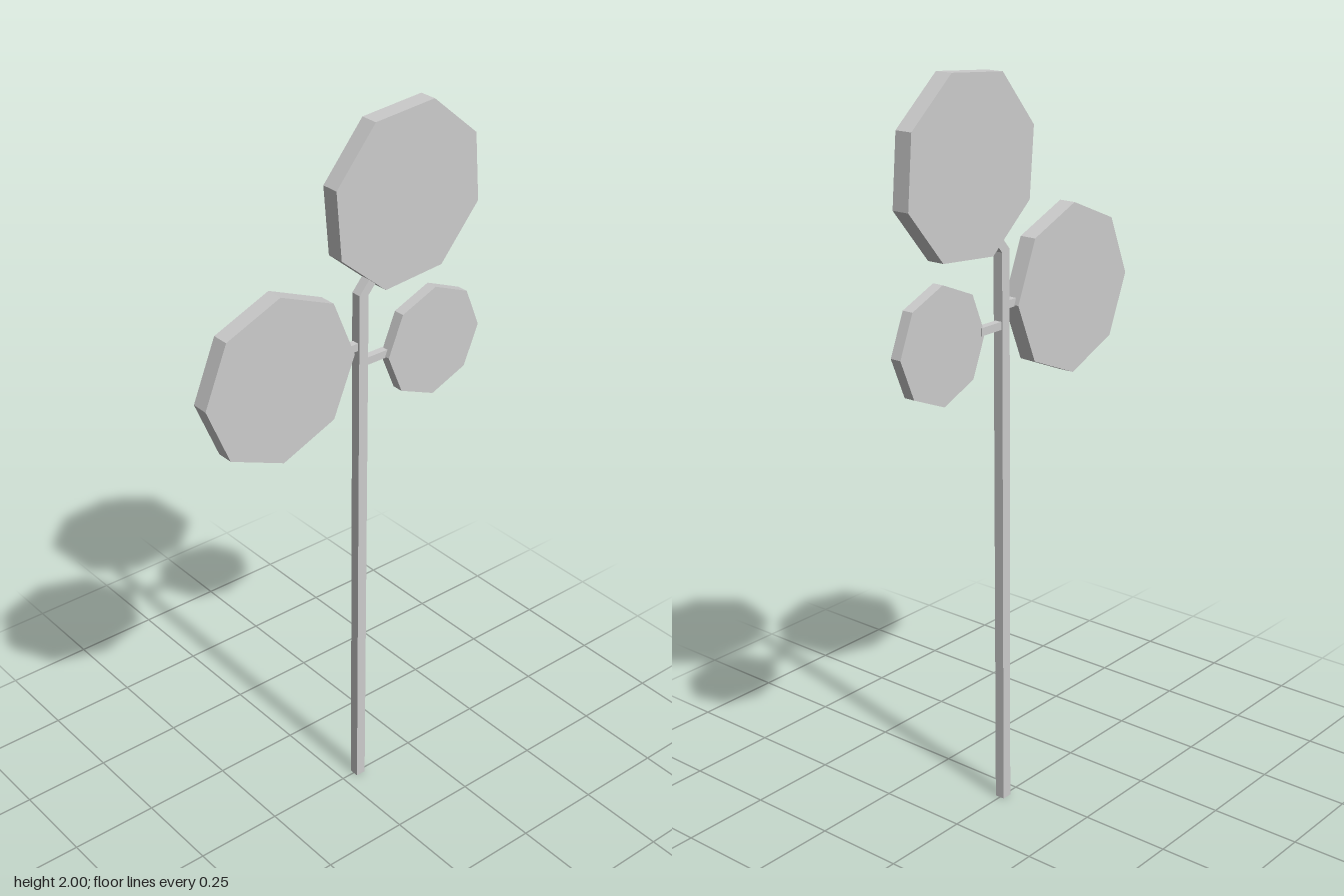
import * as THREE from 'three';

const material = new THREE.MeshStandardMaterial({ color: 0xcccccc, flatShading: true });

// Flat slab: outline given as [z, y] points, thickness along x
function slab(name, outline, thickness, x = 0) {
  const shape = new THREE.Shape(outline.map(([z, y]) => new THREE.Vector2(z, y)));
  const geometry = new THREE.ExtrudeGeometry(shape, { depth: thickness, bevelEnabled: false });
  geometry.translate(0, 0, -thickness / 2);
  geometry.rotateY(-Math.PI / 2);
  geometry.translate(x, 0, 0);
  const mesh = new THREE.Mesh(geometry, material);
  mesh.name = name;
  return mesh;
}

// Eight-sided pad facing sideways
function pad(name, z, y, radius, thickness, x, turn = 0) {
  const outline = [];
  for (let i = 0; i < 8; i++) {
    const a = turn + (i * Math.PI) / 4;
    outline.push([z + radius * Math.cos(a), y + radius * Math.sin(a)]);
  }
  return slab(name, outline, thickness, x);
}

// Thin square twig along z
function twig(name, z0, z1, y) {
  const mesh = new THREE.Mesh(new THREE.BoxGeometry(0.02, 0.021, z1 - z0), material);
  mesh.position.set(0, y, (z0 + z1) / 2);
  mesh.name = name;
  return mesh;
}

export function createModel() {
  const group = new THREE.Group();
  group.name = 'paddedPlant';

  // Upright stem whose tip bends back into the top pad
  group.add(slab('stem', [
    [-0.069, 0], [-0.04, 0], [-0.04, 1.545], [-0.1, 1.614], [-0.121, 1.6], [-0.069, 1.54],
  ], 0.028, 0.001));

  // Side twigs
  group.add(twig('frontTwig', -0.055, 0, 1.402));
  group.add(twig('backTwig', -0.145, -0.055, 1.352));

  // Leaf pads
  group.add(pad('topPad', -0.19, 1.771, 0.241, 0.049, -0.0005, THREE.MathUtils.degToRad(17.6)));
  group.add(pad('frontPad', 0.21, 1.395, 0.228, 0.047, 0.0005));
  group.add(pad('backPad', -0.284, 1.345, 0.154, 0.031, 0.0085));

  return group;
}
